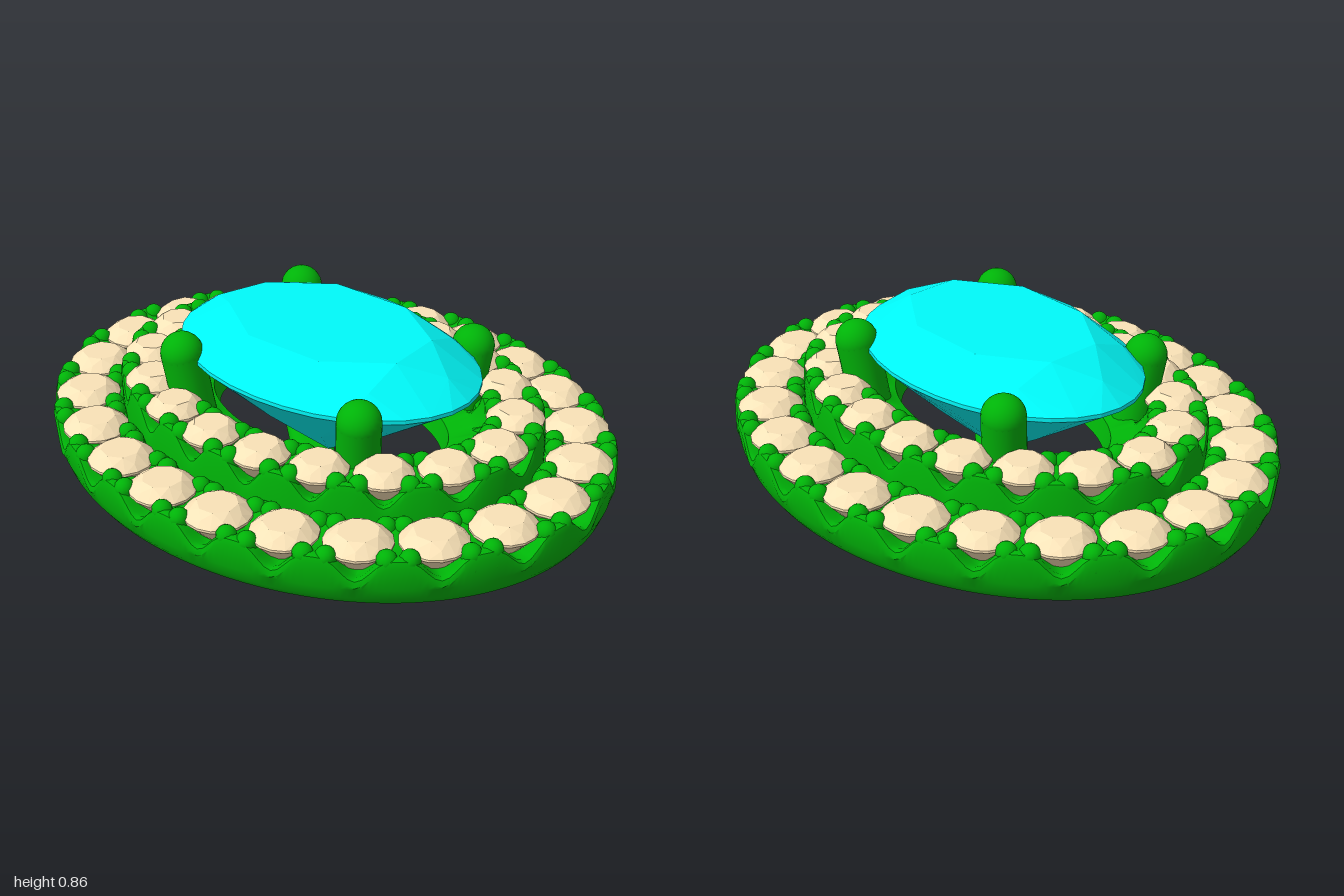
import * as THREE from 'three';
import { toCreasedNormals } from 'three/addons/utils/BufferGeometryUtils.js';
import { ConvexGeometry } from 'three/addons/geometries/ConvexGeometry.js';

const metal = new THREE.MeshStandardMaterial({ color: 0x00b408 });
const blue = new THREE.MeshStandardMaterial({ color: 0x00fafa, flatShading: true });
const cream = new THREE.MeshStandardMaterial({ color: 0xfae3b8, flatShading: true });
const STEPS = 12; // ring samples per stone

function add(parent, name, geometry, material) {
  const mesh = new THREE.Mesh(geometry, material);
  mesh.name = name;
  parent.add(mesh);
  return mesh;
}

// Brilliant cut: table, kite points, girdle band, pavilion and culet
function gemGeometry({ rx, rz, crown, pavilion, band, table, sides }) {
  const pts = [];
  const loop = (n, r, y, shift) => {
    for (let i = 0; i < n; i++) {
      const a = ((i + shift) / n) * Math.PI * 2;
      pts.push(new THREE.Vector3(rx * r * Math.cos(a), y, rz * r * Math.sin(a)));
    }
  };
  loop(8, table, crown, 0.5);
  loop(8, (1 + table) / 2 + 0.02, crown * 0.58, 0);
  loop(sides, 1, band / 2, 0);
  loop(sides, 1, -band / 2, 0);
  loop(8, 0.5, -pavilion * 0.54, 0.5);
  pts.push(new THREE.Vector3(0, -pavilion, 0));
  return new ConvexGeometry(pts);
}

// Points along an oval, evenly spaced, with outward normals
function ovalFrames(a, b, n) {
  const curve = new THREE.EllipseCurve(0, 0, a, b);
  curve.arcLengthDivisions = 1000;
  return curve.getSpacedPoints(n).slice(0, n).map((p) => ({
    p, n: new THREE.Vector2(p.x / (a * a), p.y / (b * b)).normalize(),
  }));
}

// Sweep a cross-section (offset, y), which varies along the oval, round the ring
function sweepRing(frames, section) {
  const pos = [], idx = [], count = frames.length;
  let m = 0;
  frames.forEach(({ p, n }, i) => {
    const s = section(i);
    m = s.length;
    s.forEach(([o, y]) => pos.push(p.x + n.x * o, y, p.y + n.y * o));
  });
  for (let i = 0; i < count; i++) {
    for (let j = 0; j < m; j++) {
      const i2 = (i + 1) % count, j2 = (j + 1) % m;
      const A = i * m + j, B = i * m + j2, C = i2 * m + j, D = i2 * m + j2;
      idx.push(A, B, C, B, D, C);
    }
  }
  const g = new THREE.BufferGeometry();
  g.setAttribute('position', new THREE.Float32BufferAttribute(pos, 3));
  g.setIndex(idx);
  return toCreasedNormals(g, 0.9);
}

// Scalloped halo with a row of stones and bead prongs
function halo(name, { a, b, w, count, top, lower, stone }) {
  const g = new THREE.Group();
  g.name = name;
  const frames = ovalFrames(a, b, count * STEPS);
  const section = (i) => {
    const dip = Math.pow(0.5 - 0.5 * Math.cos((i / STEPS) * Math.PI * 2), 1.8);
    const rim = top - 0.025 - 0.075 * dip;
    return [
      ...lower,
      [w, rim - 0.025], [w * 0.95, rim - 0.005], [w * 0.82, rim],
      [w * 0.6, rim - 0.01], [0, top - 0.06 - 0.04 * dip], [-w * 0.6, rim - 0.01],
      [-w * 0.82, rim], [-w * 0.95, rim - 0.005], [-w, rim - 0.025],
    ];
  };
  add(g, name + 'Body', sweepRing(frames, section), metal);

  const stoneGeo = gemGeometry({
    rx: stone, rz: stone, crown: 0.04, pavilion: 0.12, band: 0.008, table: 0.6, sides: 16,
  });
  const beadGeo = new THREE.CapsuleGeometry(0.033, 0.04, 5, 12);
  for (let k = 0; k < count; k++) {
    const f = frames[k * STEPS + STEPS / 2];
    const s = add(g, name + 'Stone', stoneGeo, cream);
    s.position.set(f.p.x, top - 0.04, f.p.y);
    s.rotation.y = -Math.atan2(f.n.y, f.n.x);
    // Pairs of beads on both edges of each gap
    const q = frames[k * STEPS];
    for (const [off, spread] of [[w - 0.036, 0.034], [-w + 0.036, 0.027]]) {
      for (const side of [-1, 1]) {
        const bead = add(g, name + 'Bead', beadGeo, metal);
        bead.position.set(
          q.p.x + q.n.x * off - q.n.y * spread * side,
          top - 0.062,
          q.p.y + q.n.y * off + q.n.x * spread * side);
      }
    }
  }
  return g;
}

export function createModel() {
  const model = new THREE.Group();
  model.name = 'ovalJewel';

  model.add(halo('outerHalo', {
    a: 0.695, b: 0.88, w: 0.12, count: 22, top: 0.565, stone: 0.108,
    lower: [[-0.12, 0.355], [0.055, 0.355], [0.08, 0.362], [0.097, 0.387], [0.112, 0.43]],
  }));
  // Inner halo with a domed seat that narrows to the lower opening
  model.add(halo('innerHalo', {
    a: 0.475, b: 0.665, w: 0.1, count: 18, top: 0.665, stone: 0.095,
    lower: [[-0.135, 0.555], [-0.21, 0.53], [-0.23, 0.46], [-0.1, 0.43], [0.1, 0.42], [0.1, 0.5]],
  }));

  // Centre stone
  const centre = add(model, 'centreStone', gemGeometry({
    rx: 0.375, rz: 0.55, crown: 0.117, pavilion: 0.37, band: 0.014, table: 0.67, sides: 32,
  }), blue);
  centre.position.y = 0.74;

  // Curved strut profile: distance from the centre, height
  const profile = new THREE.Shape();
  profile.moveTo(-0.05, 0);
  profile.lineTo(0.045, 0);
  profile.splineThru([[0.085, 0.025], [0.17, 0.1], [0.34, 0.21], [0.55, 0.29], [0.82, 0.365]]
    .map(([x, y]) => new THREE.Vector2(x, y)));
  profile.lineTo(0.8, 0.43);
  profile.lineTo(0.6, 0.43);
  profile.splineThru([[0.445, 0.354], [0.3, 0.285], [0.13, 0.21]]
    .map(([x, y]) => new THREE.Vector2(x, y)));
  profile.lineTo(-0.05, 0.21);
  const strutGeo = toCreasedNormals(new THREE.ExtrudeGeometry(profile, {
    depth: 0.06, bevelEnabled: true, bevelSize: 0.038, bevelOffset: -0.038,
    bevelThickness: 0.045, bevelSegments: 5, curveSegments: 8,
  }).translate(0, 0, -0.03), 0.7);

  // Rounded meeting point of the struts
  const hub = add(model, 'hub', new THREE.SphereGeometry(0.085, 24, 16), metal);
  hub.position.y = 0.085;

  // Four diagonal struts and four claws
  const tipGeo = new THREE.SphereGeometry(0.071, 24, 16);
  for (const sx of [-1, 1]) {
    for (const sz of [-1, 1]) {
      const strut = add(model, 'strut', strutGeo, metal);
      strut.rotation.y = -Math.atan2(0.77 * sz, 0.64 * sx);
      const fillet = add(model, 'strutFillet', tipGeo, metal);
      fillet.position.set(0.35 * sx, 0.42, 0.42 * sz);
      fillet.scale.y = 0.75;

      const path = new THREE.CatmullRomCurve3([
        [0.28, 0.5, 0.335], [0.29, 0.58, 0.343], [0.3, 0.66, 0.35], [0.312, 0.755, 0.36],
      ].map(([x, y, z]) => new THREE.Vector3(x * sx, y, z * sz)));
      add(model, 'claw', new THREE.TubeGeometry(path, 12, 0.071, 20), metal);
      add(model, 'clawTip', tipGeo, metal).position.copy(path.getPoint(1));
    }
  }
  return model;
}
